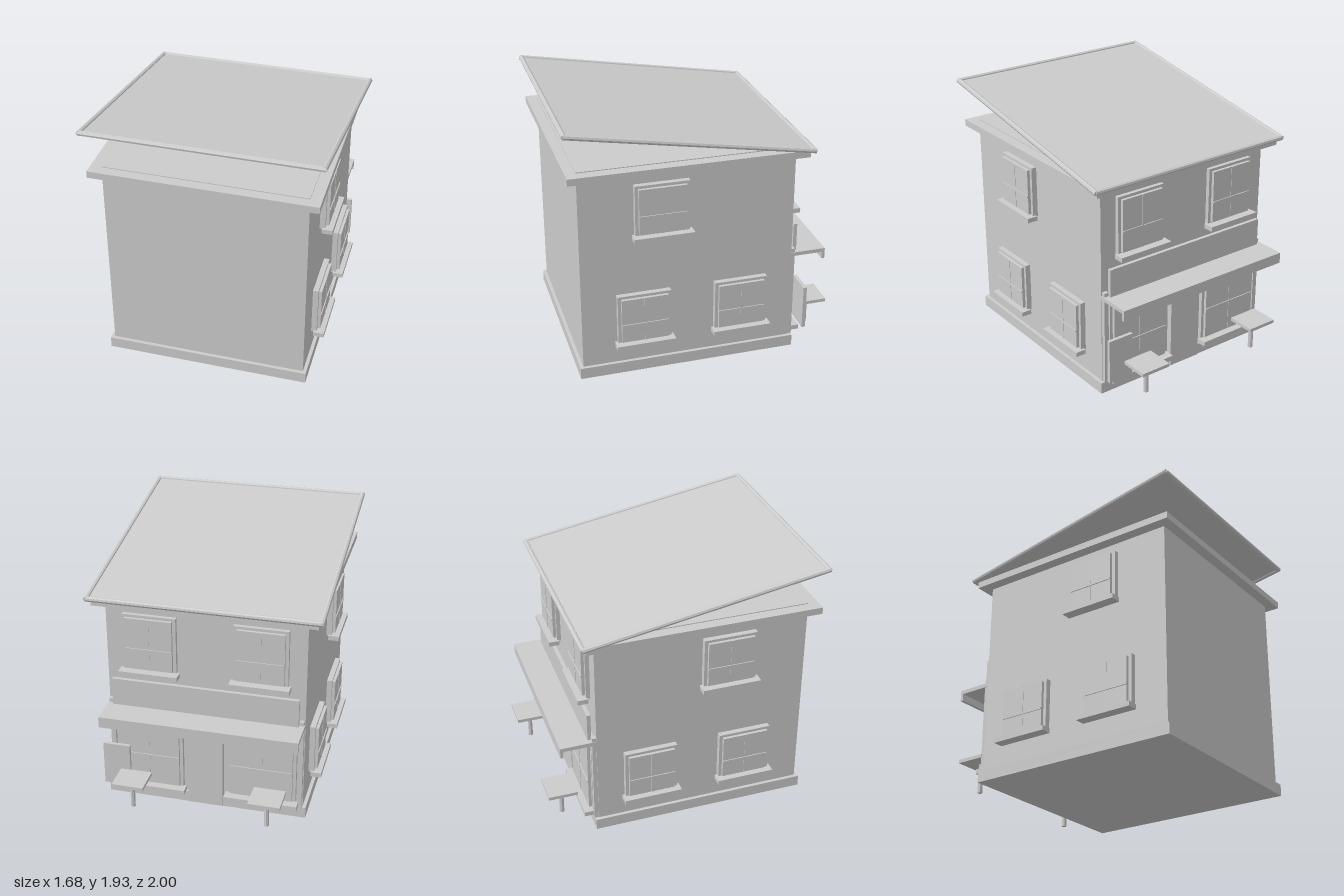
import * as THREE from 'three';

const wall = new THREE.MeshStandardMaterial({ color: 0xcccccc, flatShading: true });
wall.name = 'plain grey';

// box given by its min and max on each axis
function box(name, parent, [x0, x1], [y0, y1], [z0, z1]) {
  const m = new THREE.Mesh(new THREE.BoxGeometry(x1 - x0, y1 - y0, z1 - z0), wall);
  m.position.set((x0 + x1) / 2, (y0 + y1) / 2, (z0 + z1) / 2);
  m.name = name;
  parent.add(m);
  return m;
}

// window facing local +z, with its frame bottom at y = 0 and the wall at z = 0
function makeWindow(name, w, h, depth) {
  const g = new THREE.Group();
  g.name = name;
  const a = w / 2, s = a - 0.024, b = 0.02, t = h - 0.02;
  const bar = b + (t - b) * 0.4, front = depth + 0.022;
  box('frame', g, [-a, a], [0, h], [-0.01, depth]);
  // four panes with the glazing bars between them
  for (const [x0, x1] of [[-s, -0.006], [0.006, s]])
    for (const [y0, y1] of [[b, bar - 0.007], [bar + 0.007, t]])
      box('pane', g, [x0, x1], [y0, y1], [depth - 0.005, front]);
  box('uprightBar', g, [-0.006, 0.006], [b, t], [depth - 0.005, front + 0.003]);
  box('crossBar', g, [-s, s], [bar - 0.007, bar + 0.007], [depth - 0.005, front + 0.007]);
  box('sill', g, [-a - 0.02, a + 0.02], [-0.025, 0.01], [0.018, 0.097]);
  return g;
}

export function createModel() {
  const model = new THREE.Group();
  model.name = 'shopHouse';

  // main volume
  box('body', model, [-0.72, 0.72], [0.02, 1.606], [-0.66, 0.895]);
  box('plinth', model, [-0.745, 0.745], [0, 0.085], [-0.685, 0.92]);
  box('cornice', model, [-0.8, 0.8], [1.55, 1.6], [-0.735, 0.97]);

  // sloping roof sheet with a rail along each edge
  const roof = new THREE.Group();
  roof.name = 'roof';
  const dz = 1.735, dy = 0.3, len = Math.hypot(dz, dy), hx = 0.822;
  roof.position.set(0, 1.756, 0.113);
  roof.rotation.x = -Math.atan2(dy, dz);
  model.add(roof);
  box('roofSheet', roof, [-hx, hx], [-0.006, 0.006], [-len / 2, len / 2]);
  for (const s of [-1, 1]) {
    const side = new THREE.Mesh(new THREE.CylinderGeometry(0.019, 0.019, len + 0.02, 8), wall);
    side.rotation.x = Math.PI / 2;
    side.position.x = s * hx;
    side.name = 'sideRail';
    const end = new THREE.Mesh(new THREE.CylinderGeometry(0.019, 0.019, hx * 2 + 0.01, 8), wall);
    end.rotation.z = Math.PI / 2;
    end.position.z = s * len / 2;
    end.name = 'endRail';
    roof.add(side, end);
  }

  // side windows, the same on both walls
  for (const s of [-1, 1])
    for (const [y, z] of [[1.09, 0.312], [0.255, 0.448], [0.255, -0.268]]) {
      const w = makeWindow('sideWindow', 0.39, 0.38, 0.04);
      w.position.set(s * 0.72, y, z);
      w.rotation.y = s * Math.PI / 2;
      model.add(w);
    }

  // shop side
  for (const s of [-1, 1]) {
    const upper = makeWindow('upperWindow', 0.39, 0.43, 0.03);
    upper.position.set(s * 0.4, 1.06, -0.66);
    const shop = makeWindow('shopWindow', 0.5, 0.63, 0.03);
    shop.position.set(s * 0.42, 0.12, -0.66);
    for (const w of [upper, shop]) {
      w.rotation.y = Math.PI;
      model.add(w);
    }
    const p = [s * 0.68, s * 0.715].sort((a, b) => a - b);
    box('pilaster', model, p, [0.085, 0.8], [-0.69, -0.65]);

    // table on a single leg
    const table = new THREE.Group();
    table.name = 'table';
    table.position.x = s * 0.5;
    box('tableTop', table, [-0.117, 0.117], [0.25, 0.275], [-1, -0.785]);
    const leg = new THREE.Mesh(new THREE.CylinderGeometry(0.018, 0.018, 0.22, 8), wall);
    leg.position.set(0, 0.14, -0.883);
    leg.name = 'tableLeg';
    table.add(leg);
    model.add(table);
  }
  box('door', model, [-0.13, 0.13], [0.01, 0.66], [-0.703, -0.65]);
  box('fascia', model, [-0.68, 0.68], [0.77, 0.98], [-0.713, -0.686]);
  box('canopy', model, [-0.72, 0.72], [0.743, 0.772], [-0.922, -0.65]);
  box('canopyLip', model, [-0.72, 0.72], [0.69, 0.772], [-0.922, -0.9]);
  box('menuBoard', model, [0.545, 0.745], [0.14, 0.475], [-0.788, -0.762]);

  return model;
}
